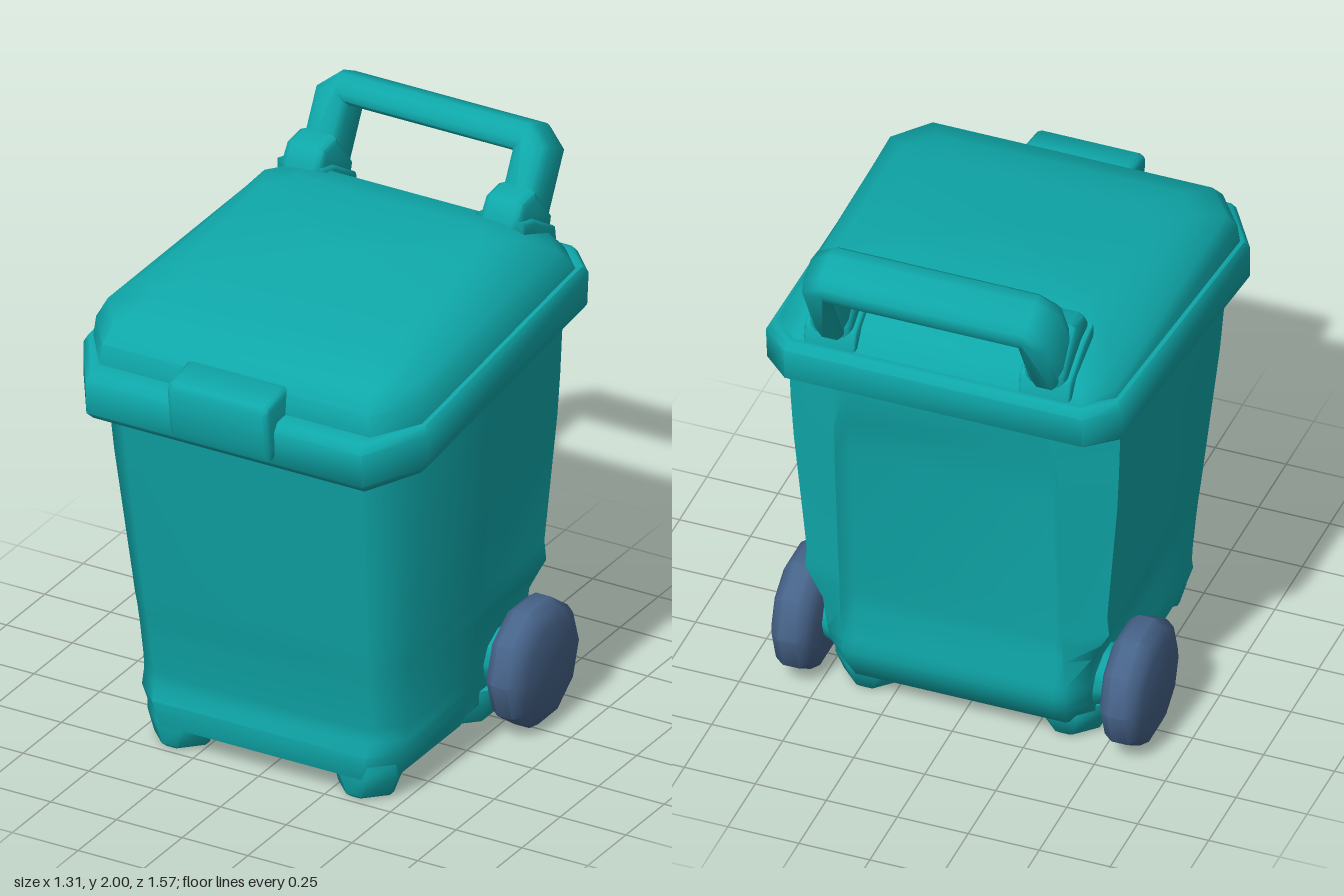
import * as THREE from 'three';
import { toCreasedNormals } from 'three/addons/utils/BufferGeometryUtils.js';

const teal = new THREE.MeshStandardMaterial({ color: 0x0fa8aa });
teal.name = 'teal plastic';
const slate = new THREE.MeshStandardMaterial({ color: 0x466389 });
slate.name = 'slate wheel';

function addMesh(parent, name, geometry, material = teal) {
  const mesh = new THREE.Mesh(geometry, material);
  mesh.name = name;
  parent.add(mesh);
  return mesh;
}

// Skin closed rings (listed bottom to top) and cap both ends.
function loft(rings, crease = 1.0) {
  const n = rings[0].length, pos = [];
  const tri = (...pts) => pts.forEach((p) => pos.push(p.x, p.y, p.z));
  for (let i = 0; i < rings.length - 1; i++) {
    for (let j = 0; j < n; j++) {
      const k = (j + 1) % n;
      const a = rings[i][j], b = rings[i][k], c = rings[i + 1][k], d = rings[i + 1][j];
      tri(a, b, c);
      tri(a, c, d);
    }
  }
  const middle = (r) => r.reduce((s, p) => s.add(p), new THREE.Vector3()).divideScalar(n);
  const lo = rings[0], hi = rings[rings.length - 1];
  const ml = middle(lo), mh = middle(hi);
  for (let j = 0; j < n; j++) {
    const k = (j + 1) % n;
    tri(ml, lo[k], lo[j]);
    tri(mh, hi[j], hi[k]);
  }
  const g = new THREE.BufferGeometry();
  g.setAttribute('position', new THREE.Float32BufferAttribute(pos, 3));
  return toCreasedNormals(g, crease);
}

// Mirror half a cross-section (front to back) and tilt it by slope.
function mirrorRing(half, y, slope) {
  const pts = [...half, ...half.slice().reverse().map(([x, z]) => [-x, z])];
  return pts.map(([x, z]) => new THREE.Vector3(x, y - slope * z, z));
}

// Rectangle with cut corners: c is the cut, cf its depth at the front, cb the cut at the back.
function ring({ y, hx, zf, zb, c, cf = c, cb = c, slope = 0, taper = 0 }) {
  return mirrorRing([[hx - c, zf], [hx, zf - cf], [hx - taper, zb + cb], [hx - taper - cb, zb]], y, slope);
}

// Body section: c front cut, cx and cz back cut, recess of the back panel, dent of the wheel well.
function bodyRing([y, hx, zf, zb, c, cx, cz, recess, dent]) {
  return mirrorRing([
    [hx - c, zf], [hx, zf - c], [hx, -0.01], [hx - dent, -0.08], [hx - dent, zb + cz],
    [hx - cx, zb], [hx - cx - 0.04, zb + recess],
  ], y, y > 1.2 ? 0.05 : 0);
}

// Side profile given as (z, y), bevelled and centred at x.
function sideExtrude(profile, width, x, bevel) {
  const shape = new THREE.Shape(profile.map(([z, y]) => new THREE.Vector2(z, y)));
  const depth = width - 2 * bevel;
  const g = new THREE.ExtrudeGeometry(shape, {
    depth, bevelEnabled: true, bevelThickness: bevel, bevelSize: bevel, bevelOffset: -bevel, bevelSegments: 2,
  });
  g.translate(0, 0, -depth / 2).rotateY(-Math.PI / 2).translate(x, 0, 0);
  return toCreasedNormals(g, 0.9);
}

export function createModel() {
  const model = new THREE.Group();
  model.name = 'wheeledBin';

  // Tapered body with a hollow underside, wheel wells and a recessed back panel
  const body = [
    [0.14, 0.3, 0.32, -0.26, 0.08, 0.08, 0.08, 0, 0],
    [0.075, 0.43, 0.445, -0.38, 0.09, 0.09, 0.08, 0, 0],
    [0.08, 0.47, 0.485, -0.42, 0.09, 0.1, 0.08, 0, 0.02],
    [0.17, 0.498, 0.497, -0.475, 0.09, 0.11, 0.07, 0, 0.045],
    [0.22, 0.502, 0.476, -0.49, 0.09, 0.11, 0.06, 0, 0.045],
    [0.27, 0.505, 0.48, -0.497, 0.095, 0.115, 0.05, 0.01, 0.045],
    [0.39, 0.513, 0.495, -0.504, 0.1, 0.12, 0.05, 0.035, 0.04],
    [0.46, 0.518, 0.503, -0.508, 0.1, 0.125, 0.05, 0.037, 0.01],
    [0.51, 0.522, 0.512, -0.511, 0.1, 0.13, 0.055, 0.038, -0.014],
    [0.58, 0.529, 0.522, -0.516, 0.105, 0.135, 0.06, 0.04, 0],
    [1.05, 0.57, 0.59, -0.55, 0.125, 0.175, 0.08, 0.04, 0],
    [1.2, 0.578, 0.61, -0.56, 0.13, 0.185, 0.085, 0.035, 0],
    [1.32, 0.583, 0.622, -0.568, 0.13, 0.19, 0.09, 0, 0],
    [1.39, 0.585, 0.625, -0.572, 0.13, 0.19, 0.09, 0, 0],
  ].map(bodyRing);
  addMesh(model, 'body', loft(body));

  // Lid: overhanging rim, then a sloping dome
  const lid = [
    [1.332, 0.575, 0.625, -0.575, 0.11, 0.13, 0.11, 0.103, 0],
    [1.35, 0.625, 0.695, -0.64, 0.11, 0.18, 0.09, 0.095, 0.02],
    [1.378, 0.653, 0.727, -0.674, 0.13, 0.205, 0.1, 0.088, 0.03],
    [1.495, 0.655, 0.73, -0.68, 0.13, 0.21, 0.1, 0.085, 0.03],
    [1.522, 0.64, 0.71, -0.66, 0.125, 0.2, 0.095, 0.085, 0.03],
    [1.522, 0.625, 0.657, -0.635, 0.11, 0.15, 0.09, 0.085, 0.03],
    [1.57, 0.618, 0.65, -0.62, 0.11, 0.15, 0.09, 0.047, 0.03],
    [1.625, 0.592, 0.597, -0.585, 0.1, 0.13, 0.09, 0.042, 0.035],
    [1.693, 0.515, 0.47, -0.46, 0.09, 0.11, 0.09, 0.091, 0.03],
    [1.718, 0.435, 0.32, -0.33, 0.08, 0.08, 0.08, 0.128, 0.015],
  ].map(([y, hx, zf, zb, c, cf, cb, slope, taper]) => ring({ y, hx, zf, zb, c, cf, cb, slope, taper }));
  addMesh(model, 'lid', loft(lid));

  // Front latch
  addMesh(model, 'latch', sideExtrude(
    [[0.6, 1.34], [0.745, 1.325], [0.76, 1.36], [0.78, 1.51], [0.765, 1.535], [0.64, 1.56], [0.6, 1.54]], 0.385, 0, 0.02));

  // Tilted carrying handle
  const outline = [
    [0.44, -0.33], [0.44, -0.01], [0.365, 0.057], [-0.365, 0.057], [-0.44, -0.01], [-0.44, -0.33],
    [-0.315, -0.33], [-0.315, -0.052], [0.315, -0.052], [0.315, -0.33],
  ].map(([x, y]) => new THREE.Vector2(x, y));
  const handleGeo = new THREE.ExtrudeGeometry(new THREE.Shape(outline), {
    depth: 0.085, bevelEnabled: true, bevelThickness: 0.052, bevelSize: 0.036, bevelOffset: -0.036, bevelSegments: 2,
  });
  handleGeo.translate(0, 0, -0.0425);
  const handle = addMesh(model, 'handle', toCreasedNormals(handleGeo, 1.0));
  handle.position.set(0, 1.919, -0.692);
  handle.rotation.x = -0.48;

  // Wheel profile, a ten-sided lathe turned to lie along x
  const wheelProfile = [[0, -0.076], [0.16, -0.076], [0.203, -0.058], [0.224, -0.028],
    [0.224, 0.028], [0.203, 0.058], [0.16, 0.076], [0, 0.076]].map(([r, y]) => new THREE.Vector2(r, y));
  const wheelGeo = new THREE.LatheGeometry(wheelProfile, 10, Math.PI / 10);
  wheelGeo.rotateY(Math.PI / 2).rotateZ(-Math.PI / 2);

  for (const side of [1, -1]) {
    const label = side > 0 ? 'left' : 'right';

    // Hinge bracket and its base plate
    addMesh(model, label + 'HingeBracket', sideExtrude(
      [[-0.41, 1.7], [-0.41, 1.75], [-0.45, 1.81], [-0.54, 1.82], [-0.65, 1.68], [-0.63, 1.6], [-0.55, 1.6]],
      0.15, side * 0.378, 0.025));
    addMesh(model, label + 'HingePlate', sideExtrude(
      [[-0.42, 1.7], [-0.42, 1.755], [-0.5, 1.735], [-0.635, 1.65], [-0.645, 1.58], [-0.58, 1.57]],
      0.185, side * 0.378, 0.012));

    // Wheel and axle hub
    const wheel = addMesh(model, label + 'Wheel', toCreasedNormals(wheelGeo, 0.75), slate);
    wheel.position.set(side * 0.579, 0.222, -0.293);
    const axle = addMesh(model, label + 'Axle', new THREE.CylinderGeometry(0.09, 0.14, 0.12, 10));
    axle.rotation.z = -side * Math.PI / 2;
    axle.position.set(side * 0.45, 0.222, -0.293);

    // Corner feet
    const feet = [['Front', 0.25, 0.45, 0.32, 0.48], ['Back', 0.25, 0.45, -0.39, -0.12]];
    for (const [end, x0, x1, z0, z1] of feet) {
      const rings = [[0, -0.012], [0.012, 0], [0.09, 0.022], [0.13, 0.022]].map(([y, grow]) =>
        ring({ y, hx: (x1 - x0) / 2 + grow, zf: z1 + Math.min(grow, 0.005), zb: z0 - grow, c: 0.07 }));
      addMesh(model, label + end + 'Foot', loft(rings)).position.x = side * (x0 + x1) / 2;
    }
  }
  return model;
}
